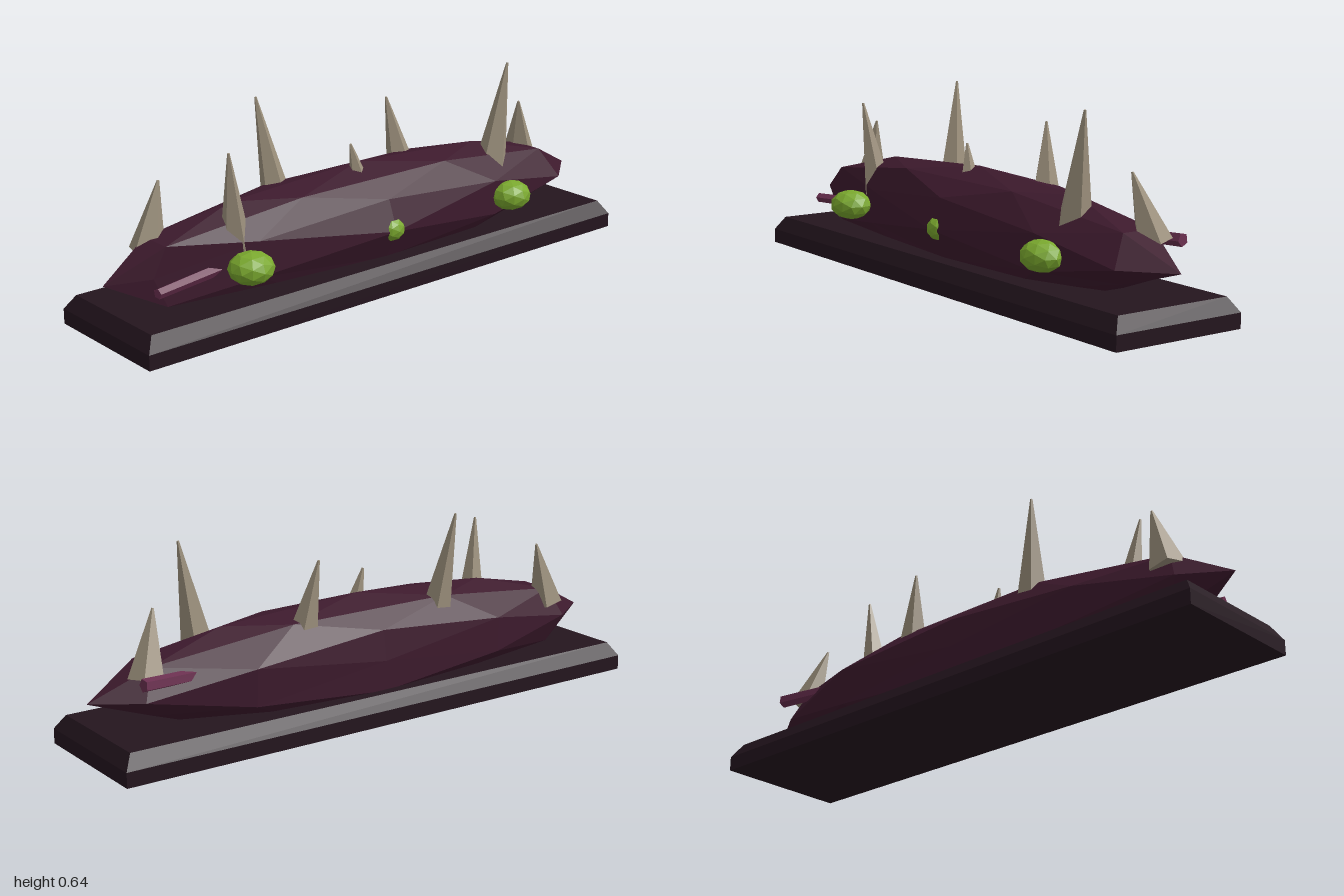
import * as THREE from 'three';

const mat = (color) => new THREE.MeshStandardMaterial({ color, flatShading: true, roughness: 0.9 });

export function createModel() {
  const group = new THREE.Group();
  const baseMat = mat(0x24151e), fleshMat = mat(0x3d1a2d), boneMat = mat(0x9c907c);
  const slimeMat = mat(0x7aa82e), veinMat = mat(0x6b3050);
  const up = new THREE.Vector3(0, 1, 0);

  const add = (name, geometry, material) => {
    const mesh = new THREE.Mesh(geometry, material);
    mesh.name = name;
    group.add(mesh);
    return mesh;
  };

  // Tapered prism running between two points
  const strut = (name, from, to, r0, r1, sides, material) => {
    const a = new THREE.Vector3(...from), b = new THREE.Vector3(...to);
    const dir = b.clone().sub(a);
    const mesh = add(name, new THREE.CylinderGeometry(r1, r0, dir.length(), sides), material);
    mesh.position.copy(a).add(b).multiplyScalar(0.5);
    mesh.quaternion.setFromUnitVectors(up, dir.normalize());
    return mesh;
  };

  // Plinth: slab with a chamfered upper half
  add('plinthSlab', new THREE.BoxGeometry(2, 0.05, 0.48), baseMat).position.y = 0.025;
  const cap = new THREE.BoxGeometry(2, 0.047, 0.48);
  const cp = cap.attributes.position;
  for (let i = 0; i < cp.count; i++) {
    if (cp.getY(i) > 0) cp.setXYZ(i, Math.sign(cp.getX(i)) * 0.97, cp.getY(i), Math.sign(cp.getZ(i)) * 0.21);
  }
  add('plinthChamfer', cap, baseMat).position.y = 0.0735;

  // Mound: stretched low-poly ball; nudges are [direction, dy, dz]
  const nudges = [
    [[-0.85, 0, 0.53], 0, -0.05],
    [[0.85, 0, 0.53], 0, 0.025],
    [[-0.5, 0.31, 0.81], 0, -0.035],
    [[-0.5, -0.31, 0.81], 0, -0.035],
    [[0.5, 0.31, -0.81], 0.005, -0.026],
    [[0.5, -0.31, -0.81], 0, -0.02],
    [[0, -0.53, -0.85], 0, -0.014],
    [[0, 0, -1], 0, 0.014],
    [[0, 0, 1], 0, 0.01],
    [[0, -0.53, 0.85], 0, -0.014],
    [[0.81, -0.5, 0.31], 0.04, 0],
    [[0.81, -0.5, -0.31], 0.04, 0],
  ].map(([d, dy, dz]) => ({ d: new THREE.Vector3(...d), dy, dz }));
  const mound = new THREE.IcosahedronGeometry(1, 1);
  const mp = mound.attributes.position, v = new THREE.Vector3();
  for (let i = 0; i < mp.count; i++) {
    v.fromBufferAttribute(mp, i);
    const n = nudges.find((k) => k.d.distanceTo(v) < 0.1) || { dy: 0, dz: 0 };
    mp.setXYZ(i, v.x, 0.195 + v.y * 0.195 + n.dy, v.z * 0.19 + n.dz);
  }
  mound.computeVertexNormals();
  add('mound', mound, fleshMat);

  // Bone spikes: base, tip, base radius
  [
    [[-0.8, 0.245, -0.06], [-0.75, 0.463, -0.06], 0.06],
    [[-0.55, 0.235, 0.06], [-0.593, 0.553, 0.093], 0.052],
    [[-0.28, 0.3, -0.08], [-0.322, 0.64, -0.128], 0.052],
    [[-0.02, 0.34, 0.03], [-0.047, 0.463, 0.02], 0.032],
    [[0.26, 0.31, -0.075], [0.22, 0.553, -0.108], 0.05],
    [[0.57, 0.265, 0.055], [0.632, 0.64, 0.064], 0.06],
    [[0.82, 0.25, -0.05], [0.768, 0.463, -0.008], 0.06],
  ].forEach(([from, to, r], i) => strut(`spike${i + 1}`, from, to, r, 0.004, 5, boneMat));

  // Slime blisters along the front: centre and half sizes
  [
    [[-0.567, 0.196, 0.163], [0.076, 0.053, 0.073]],
    [[0.005, 0.196, 0.165], [0.05, 0.042, 0.044]],
    [[0.56, 0.196, 0.168], [0.074, 0.052, 0.068]],
  ].forEach(([c, s], i) => {
    const blob = add(`blister${i + 1}`, new THREE.IcosahedronGeometry(1, 1), slimeMat);
    blob.position.set(...c);
    blob.scale.set(...s);
  });

  // Veins poking out of both ends
  strut('veinRight', [-0.88, 0.174, 0.113], [-0.56, 0.185, 0.065], 0.017, 0.02, 5, veinMat);
  strut('veinLeft', [0.87, 0.262, -0.122], [0.56, 0.25, -0.085], 0.022, 0.02, 5, veinMat);

  return group;
}
